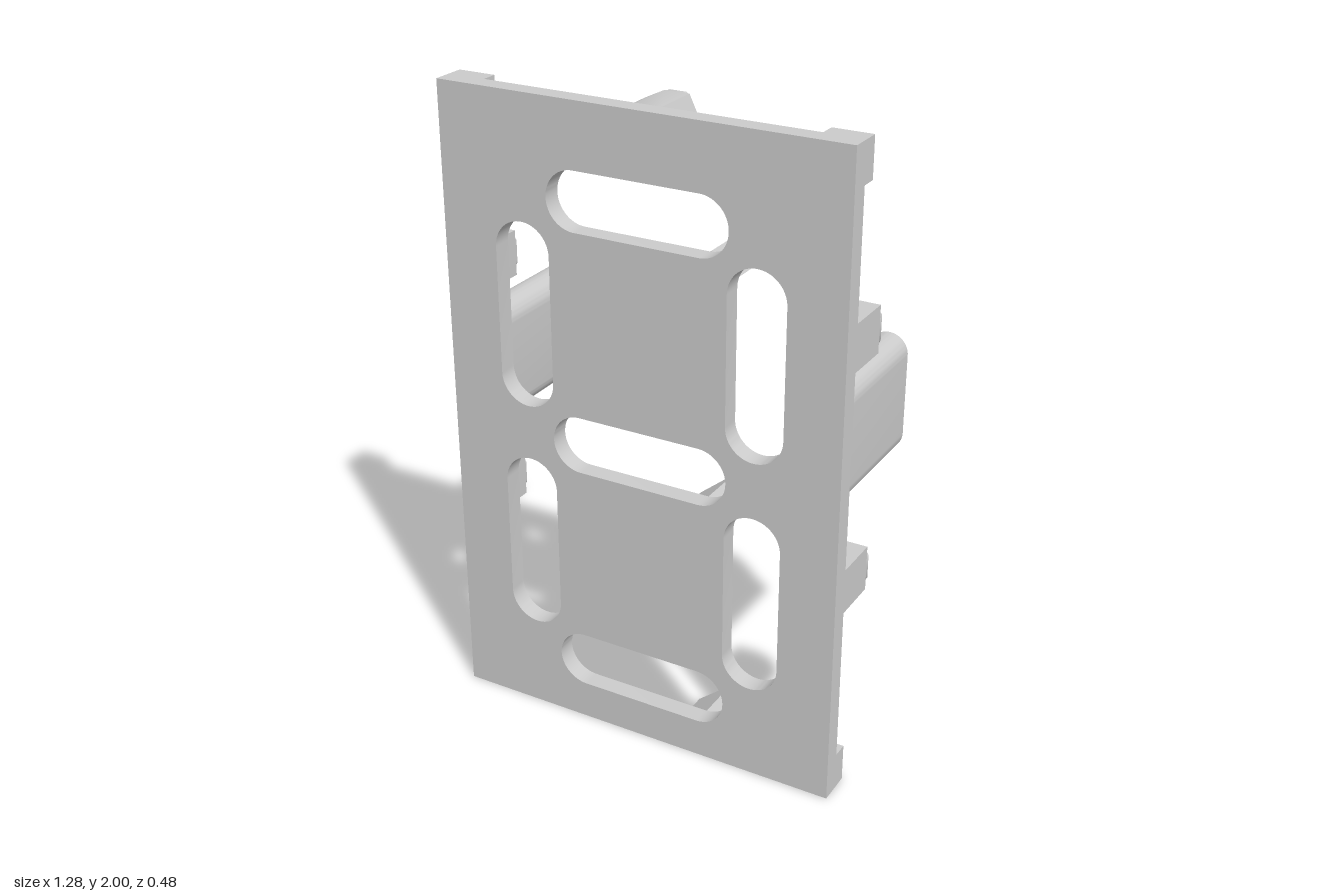
import * as THREE from 'three';
import { toCreasedNormals } from 'three/addons/utils/BufferGeometryUtils.js';

const HALF_W = 0.64, HEIGHT = 2, BACK = 0.18, FRONT = 0.24;
const material = new THREE.MeshStandardMaterial({ color: 0xcccccc });

function circleHole(x, y, r) {
  return new THREE.Path().absarc(x, y, r, 0, Math.PI * 2, true);
}

// Rounded slot outline, w by h, on either axis
function stadium(PathType, x, y, w, h) {
  const p = new PathType(), r = Math.min(w, h) / 2;
  const dx = w / 2 - r, dy = h / 2 - r;
  if (w > h) {
    p.absarc(x + dx, y, r, -Math.PI / 2, Math.PI / 2, false);
    p.absarc(x - dx, y, r, Math.PI / 2, Math.PI * 1.5, false);
  } else {
    p.absarc(x, y + dy, r, 0, Math.PI, false);
    p.absarc(x, y - dy, r, Math.PI, Math.PI * 2, false);
  }
  p.closePath();
  return p;
}

// Extrude a shape between two depths
function slab(name, shape, z0, z1) {
  const geo = new THREE.ExtrudeGeometry(shape, { depth: z1 - z0, bevelEnabled: false, curveSegments: 16 });
  geo.translate(0, 0, z0);
  const mesh = new THREE.Mesh(toCreasedNormals(geo, 0.5), material);
  mesh.name = name;
  return mesh;
}

function rectShape(x0, y0, x1, y1) {
  return new THREE.Shape([[x0, y0], [x1, y0], [x1, y1], [x0, y1]].map(([x, y]) => new THREE.Vector2(x, y)));
}

// Keep the part of a polygon where dist(p) >= 0
function clip(points, dist) {
  const out = [];
  points.forEach((a, i) => {
    const b = points[(i + 1) % points.length], da = dist(a), db = dist(b);
    if (da >= 0) out.push(a);
    if ((da >= 0) !== (db >= 0)) out.push(a.clone().lerp(b, da / (da - db)));
  });
  return out;
}

function trimToPlate(points) {
  const limits = [p => HEIGHT - p.y, p => p.y, p => HALF_W - p.x, p => HALF_W + p.x];
  return limits.reduce(clip, points);
}

// Screw post: trimmed box with a raised collar and a screw hole
function screwPost(x, y, w, h, angle) {
  const post = new THREE.Group();
  post.name = 'screwPost';
  const place = p => p.rotateAround(new THREE.Vector2(), angle).add(new THREE.Vector2(x, y));
  const box = [[-1, -1], [1, -1], [1, 1], [-1, 1]].map(([i, j]) => place(new THREE.Vector2(i * w / 2, j * h / 2)));
  const collar = [];
  for (let i = 0; i < 40; i++) {
    const a = i / 40 * Math.PI * 2;
    collar.push(place(new THREE.Vector2(
      THREE.MathUtils.clamp(0.06 * Math.cos(a), -w / 2 + 0.004, w / 2 - 0.004),
      THREE.MathUtils.clamp(0.06 * Math.sin(a), -h / 2 + 0.004, h / 2 - 0.004))));
  }
  for (const [name, pts, z0, z1] of [['postBody', box, 0.03, BACK], ['postCollar', collar, 0.018, 0.03]]) {
    const shape = new THREE.Shape(trimToPlate(pts));
    shape.holes.push(circleHole(x, y, 0.016));
    post.add(slab(name, shape, z0, z1));
  }
  return post;
}

export function createModel() {
  const model = new THREE.Group();
  model.name = 'segmentDisplayPanel';

  // Face plate with seven slots
  const plate = rectShape(-HALF_W, 0, HALF_W, HEIGHT);
  for (const y of [0.213, 0.963, 1.713]) plate.holes.push(stadium(THREE.Path, 0, y, 0.575, 0.18));
  for (const y of [0.588, 1.338])
    for (const s of [-1, 1]) plate.holes.push(stadium(THREE.Path, s * 0.374, y, 0.18, 0.575));
  model.add(slab('facePlate', plate, BACK, FRONT));

  // Corner pads and the two long mounting pillars
  for (const s of [-1, 1]) {
    for (const y of [0.06, 1.94]) {
      const x = s * 0.58;
      const pad = rectShape(x - 0.06, y - 0.06, x + 0.06, y + 0.06);
      pad.holes.push(circleHole(x, y, 0.016));
      model.add(slab('cornerPad', pad, 0.13, BACK));
    }
    const pillar = stadium(THREE.Shape, s * 0.56, 1.123, 0.12, 0.37);
    for (const y of [0.998, 1.248]) pillar.holes.push(circleHole(s * 0.56, y, 0.016));
    model.add(slab('mountingPillar', pillar, -0.24, BACK));
  }

  // Tilted posts above and below each horizontal slot
  for (let i = 0; i < 3; i++) {
    model.add(screwPost(-0.005, 0.455 + i * 0.75, 0.14, 0.1, 0.45));
    model.add(screwPost(0.18, 0.042 + i * 0.75, 0.14, 0.1, 0.68));
  }
  // Upright posts on both sides of each vertical slot
  for (const y of [0.685, 1.433])
    for (const x of [-0.595, -0.15, 0.15, 0.595]) model.add(screwPost(x, y, 0.1, 0.142, 0));

  return model;
}
